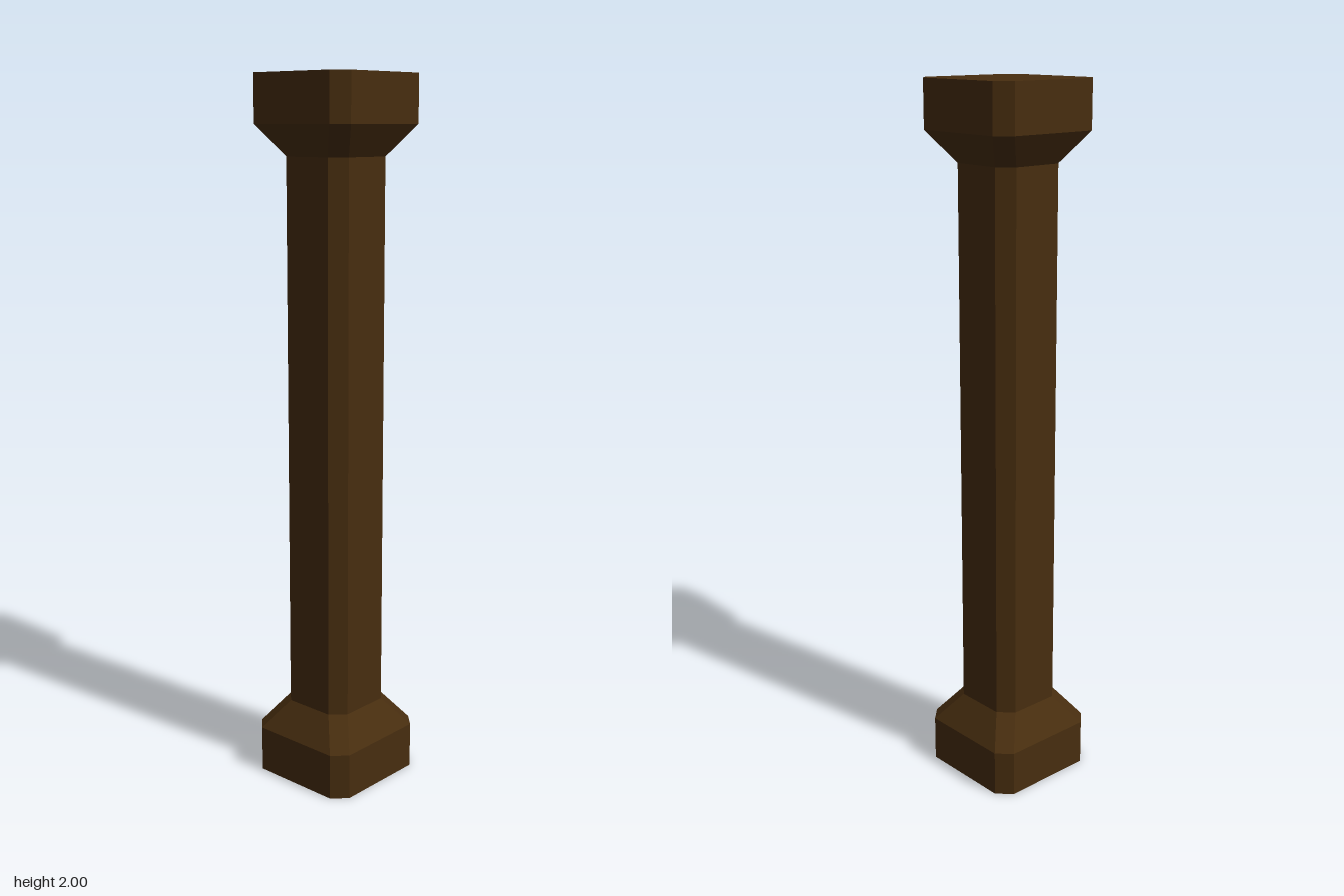
import * as THREE from 'three';

// Chamfered-square ring: half = half width, flat = half length of each straight side
function ring([y, half, flat]) {
  const corners = [[half, -flat], [half, flat], [flat, half], [-flat, half],
    [-half, flat], [-half, -flat], [-flat, -half], [flat, -half]];
  return corners.map(([x, z]) => new THREE.Vector3(x, y, z));
}

// Skin a stack of rings (bottom to top), optionally closing the ends
function loft(sections, closeBottom, closeTop) {
  const rings = sections.map(ring);
  const pos = [];
  const tri = (...pts) => pts.forEach((p) => pos.push(p.x, p.y, p.z));
  for (let r = 0; r < rings.length - 1; r++) {
    const lo = rings[r], hi = rings[r + 1];
    for (let i = 0; i < 8; i++) {
      const j = (i + 1) % 8;
      tri(lo[i], hi[i], hi[j]);
      tri(lo[i], hi[j], lo[j]);
    }
  }
  const bottom = rings[0], top = rings[rings.length - 1];
  for (let i = 1; i < 7; i++) {
    if (closeBottom) tri(bottom[0], bottom[i], bottom[i + 1]);
    if (closeTop) tri(top[0], top[i + 1], top[i]);
  }
  const geometry = new THREE.BufferGeometry();
  geometry.setAttribute('position', new THREE.Float32BufferAttribute(pos, 3));
  geometry.computeVertexNormals();
  return geometry;
}

export function createModel() {
  const wood = new THREE.MeshStandardMaterial({ color: 0x472d0f, flatShading: true });
  wood.name = 'darkWood';
  const group = new THREE.Group();
  group.name = 'pillar';

  const add = (name, geometry) => {
    const mesh = new THREE.Mesh(geometry, wood);
    mesh.name = name;
    group.add(mesh);
  };

  // Block and flare shared by both ends
  const endProfile = [[0, 0.175, 0.136], [0.132, 0.175, 0.136], [0.217, 0.113, 0.074]];
  const flipped = endProfile.map(([y, half, flat]) => [2 - y, half, flat]).reverse();

  add('base', loft(endProfile, true, false));
  add('shaft', loft([[0.217, 0.113, 0.074], [1.783, 0.113, 0.074]], false, false));
  add('capital', loft(flipped, false, true));
  return group;
}
